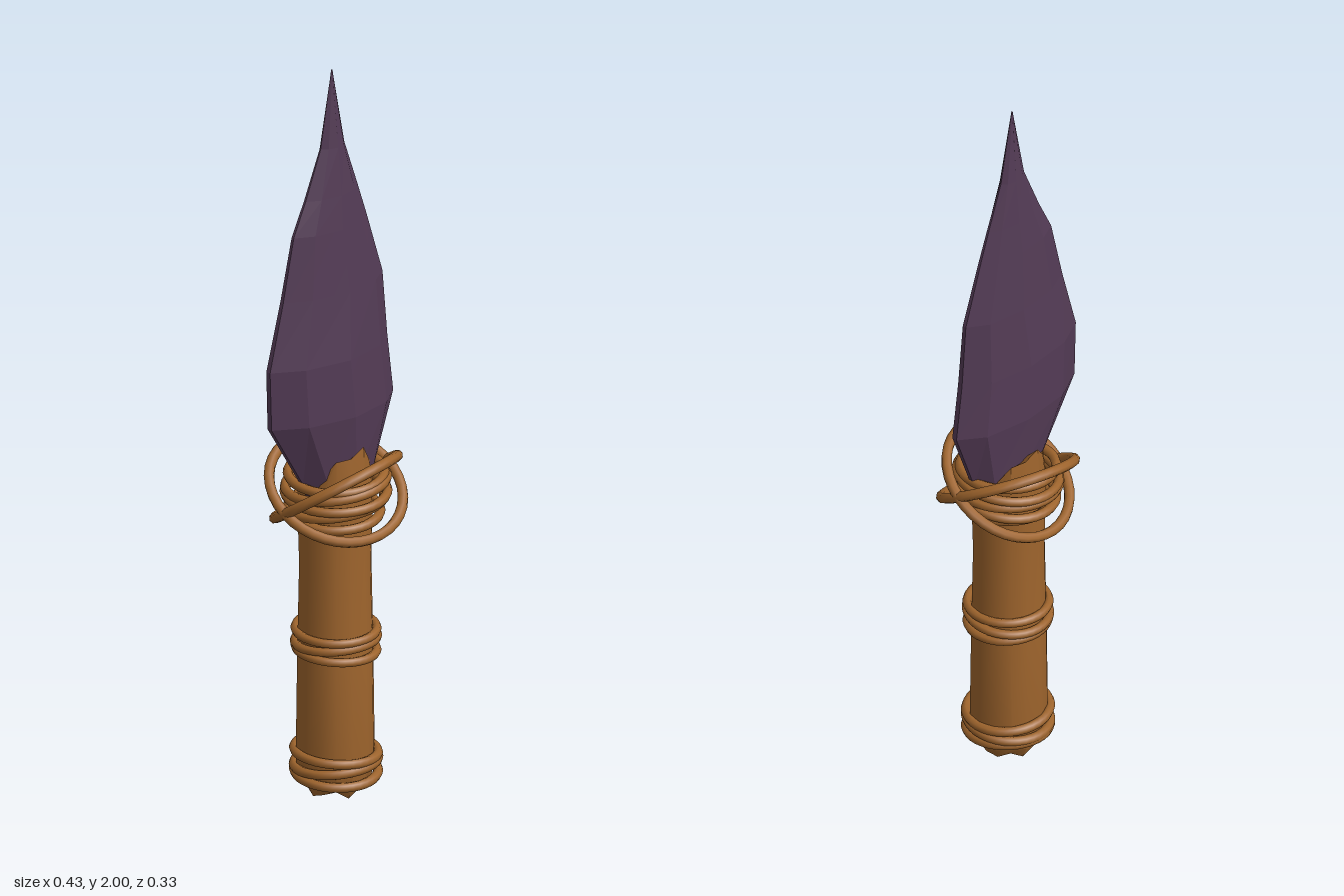
import * as THREE from 'three';
import { toCreasedNormals } from 'three/addons/utils/BufferGeometryUtils.js';

// Closed skin through rings of points (bottom to top, each ring turning from +x to +z)
function loft(rings, crease, capLow = 0, capHigh = 0) {
  const n = rings[0].length, pos = rings.flat(2), index = [];
  for (let i = 0; i < rings.length - 1; i++) {
    for (let j = 0; j < n; j++) {
      const a = i * n + j, b = i * n + (j + 1) % n;
      index.push(a, a + n, b, b, a + n, b + n);
    }
  }
  const cap = (ring, base, shift, flip) => {
    const c = [0, 1, 2].map(k => ring.reduce((s, p) => s + p[k], 0) / n);
    const centre = pos.length / 3;
    pos.push(c[0], c[1] + shift, c[2]);
    for (let j = 0; j < n; j++) {
      const a = base + j, b = base + (j + 1) % n;
      flip ? index.push(centre, b, a) : index.push(centre, a, b);
    }
  };
  cap(rings[0], 0, capLow, false);
  cap(rings[rings.length - 1], (rings.length - 1) * n, capHigh, true);
  const g = new THREE.BufferGeometry();
  g.setAttribute('position', new THREE.Float32BufferAttribute(pos, 3));
  g.setIndex(index);
  return toCreasedNormals(g, crease);
}

export function createModel() {
  const model = new THREE.Group();
  const stone = new THREE.MeshStandardMaterial({ color: 0x533b55 });
  stone.name = 'purple stone';
  const wood = new THREE.MeshStandardMaterial({ color: 0x9f652d });
  wood.name = 'warm brown';
  const add = (name, geometry, material, parent = model) => {
    const mesh = new THREE.Mesh(geometry, material);
    mesh.name = name;
    parent.add(mesh);
    return mesh;
  };

  // Faceted blade: height, left edge, right edge, front depth, back depth
  const bladeRows = [
    [0.80, -0.06, 0.09, 0.05, 0.045],
    [0.88, -0.10, 0.145, 0.068, 0.055],
    [1.06, -0.21, 0.21, 0.085, 0.07],
    [1.22, -0.215, 0.19, 0.08, 0.066],
    [1.40, -0.168, 0.175, 0.062, 0.052],
    [1.57, -0.13, 0.122, 0.045, 0.038],
    [1.66, -0.088, 0.092, 0.036, 0.03],
    [1.79, -0.035, 0.047, 0.022, 0.019],
    [2.00, 0.004, 0.007, 0.002, 0.002],
  ];
  const section = [[1, 0.1], [0.66, 0.68], [0, 1], [-0.62, 0.7], [-1, 0.1],
    [-1, -0.1], [-0.62, -0.75], [0, -1], [0.66, -0.75], [1, -0.1]];
  add('blade', loft(bladeRows.map(([y, left, right, front, back]) => {
    const ridge = left + (right - left) * 0.53;
    return section.map(([u, v]) => [
      ridge + (u > 0 ? u * (right - ridge) : u * (ridge - left)), y,
      v * (v > 0 ? front : back)]);
  }), 0.01), stone);

  // Handle with ragged ends, split at the sides where the blade sits
  const sides = 14;
  const rag = [0.4, 1, 0.2, 0.8, 0, 0.9, 0.5, 0.1, 1, 0.3, 0.7, 0, 0.8, 0.2];
  const handleRows = [
    [0.0, 0.078, 0.025, 0], [0.035, 0.098, 0.015, 0], [0.1, 0.105, 0, 0],
    [0.4, 0.101, 0, 0], [0.64, 0.096, 0, 0], [0.78, 0.1, 0, 0],
    [0.86, 0.1, 0, 0.03], [0.95, 0.092, 0.03, 0.09], [0.925, 0.06, 0.02, 0.07],
  ];
  add('handle', loft(handleRows.map(([y, r, ragged, dip]) =>
    rag.map((k, j) => {
      const a = (j / sides) * Math.PI * 2;
      const rr = r * (1 + (k - 0.5) * 0.05);
      return [0.02 + rr * Math.cos(a),
        y + k * ragged - dip * Math.cos(a) ** 2,
        -0.003 + rr * 0.94 * Math.sin(a)];
    })), 0.6, 0.02, -0.04), wood);

  // Cord loops: height, radius, tilt about x, tilt about z (degrees), tube radius
  const bindings = {
    lowerBinding: [[0.058, 0.108, 5, 2, 0.013], [0.083, 0.109, -4, 3, 0.013], [0.112, 0.108, 2, -3, 0.013]],
    middleBinding: [[0.396, 0.105, 3, -2, 0.012], [0.422, 0.107, -4, 2, 0.012], [0.45, 0.105, 2, 1, 0.012]],
    upperBinding: [[0.775, 0.114, 4, 4, 0.013], [0.802, 0.125, -5, 5, 0.013], [0.83, 0.132, 3, 3, 0.013],
      [0.857, 0.132, -3, 6, 0.013], [0.882, 0.124, 4, 4, 0.013]],
    crossedLoops: [[0.84, 0.178, 32, 9, 0.014], [0.84, 0.178, -32, 9, 0.014]],
  };
  for (const [name, loops] of Object.entries(bindings)) {
    const group = new THREE.Group();
    group.name = name;
    model.add(group);
    for (const [y, r, tiltX, tiltZ, tube] of loops) {
      const ring = new THREE.TorusGeometry(r, tube, 8, 36).rotateX(Math.PI / 2);
      const cord = add('cordLoop', ring, wood, group);
      cord.rotation.order = 'ZXY';
      cord.rotation.set(THREE.MathUtils.degToRad(tiltX), 0, THREE.MathUtils.degToRad(tiltZ));
      cord.position.set(0.02, y, 0);
    }
  }
  return model;
}
